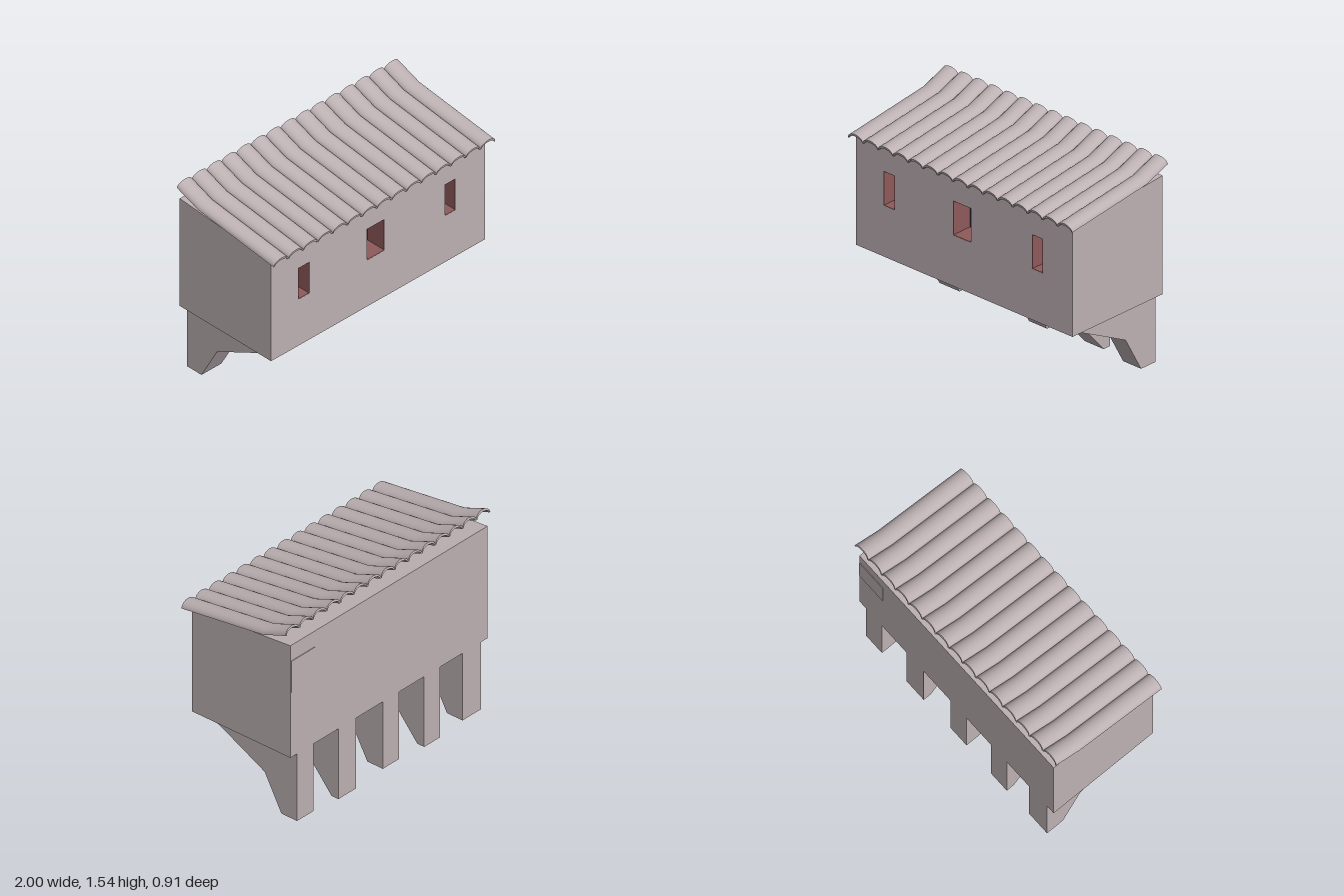
import * as THREE from 'three';
import { toCreasedNormals } from 'three/addons/utils/BufferGeometryUtils.js';

const material = (name, color) => {
  const m = new THREE.MeshStandardMaterial({ color });
  m.name = name;
  return m;
};

export function createModel() {
  const group = new THREE.Group();
  const stone = material('pale stone', 0xbdb1b3);
  const reveal = material('red brown reveal', 0x8f5a5a);
  const dark = material('dark opening', 0x382d3d);

  const add = (name, geometry, mat) => {
    const mesh = new THREE.Mesh(geometry, mat);
    mesh.name = name;
    group.add(mesh);
    return mesh;
  };
  const box = (name, x0, x1, y0, y1, z0, z1, mat) => {
    const g = new THREE.BoxGeometry(x1 - x0, y1 - y0, z1 - z0);
    g.translate((x0 + x1) / 2, (y0 + y1) / 2, (z0 + z1) / 2);
    return add(name, g, mat);
  };
  // Extrude a side profile of [z, y] points from x0 to x1
  const sideExtrude = (points, x0, x1) => {
    const shape = new THREE.Shape(points.map(p => new THREE.Vector2(...p)));
    const g = new THREE.ExtrudeGeometry(shape, { depth: x1 - x0, bevelEnabled: false });
    return g.rotateY(-Math.PI / 2).translate(x1, 0, 0);
  };

  // Main chamber: solid rear part, with the top rising towards the back
  const left = 0.955, right = -0.975, floor = 0.54, zFront = 0.4, zBack = -0.45, zSplit = 0.24;
  const topAt = z => 1.33 + (zFront - z) * 0.07 / 0.85;
  add('chamber', sideExtrude(
    [[zBack, floor], [zSplit, floor], [zSplit, topAt(zSplit)], [zBack, topAt(zBack)]],
    right, left), stone);

  // Front wall pierced by three windows
  const windows = [[-0.73, -0.63], [-0.11, 0.05], [0.595, 0.69]];
  const sill = 0.91, lintel = 1.16;
  const rect = (C, x0, x1, y0, y1) => new C([[x0, y0], [x1, y0], [x1, y1], [x0, y1]]
    .map(p => new THREE.Vector2(...p)));
  const wallShape = rect(THREE.Shape, right, left, floor, 1.33);
  windows.forEach(([a, b]) => wallShape.holes.push(rect(THREE.Path, a, b, sill, lintel)));
  const wall = new THREE.ExtrudeGeometry(wallShape, { depth: zFront - zSplit, bevelEnabled: false });
  wall.translate(0, 0, zSplit);
  const wp = wall.attributes.position;
  for (let i = 0; i < wp.count; i++) {
    if (wp.getY(i) > 1.3) wp.setY(i, topAt(wp.getZ(i)));
  }
  wall.computeVertexNormals();
  add('frontWall', wall, stone);

  // Window linings and dark backs
  const t = 0.003, zLip = zFront - 0.001;
  windows.forEach(([a, b]) => {
    box('windowSill', a, b, sill, sill + t, zSplit, zLip, reveal);
    box('windowLintel', a, b, lintel - t, lintel, zSplit, zLip, reveal);
    box('windowJamb', a, a + t, sill, lintel, zSplit, zLip, reveal);
    box('windowJamb', b - t, b, sill, lintel, zSplit, zLip, reveal);
    box('windowBack', a, b, sill, lintel, zSplit, zSplit + 0.004, dark);
  });

  // Shallow panel on the back wall
  box('backPanel', 0.72, 0.95, 1.04, 1.28, zBack - 0.005, zBack, stone);

  // Supporting corbels, alternating between two side profiles
  const profiles = [
    [[zBack, 0.025], [-0.315, 0.025], [-0.17, 0.285], [0.05, 0.395], [0.345, floor], [zBack, floor]],
    [[zBack, 0], [-0.39, 0], [-0.22, 0.195], [-0.17, 0.25], [0.05, 0.39], [0.345, floor], [zBack, floor]],
  ];
  [[-0.91, -0.73], [-0.51, -0.355], [-0.11, 0.05], [0.315, 0.485], [0.73, 0.89]]
    .forEach(([a, b], i) => add('corbel', sideExtrude(profiles[i % 2], a, b), stone));

  // Roof tile: a thin arch swept along a bent slope
  const count = 15, half = 1 / count, rise = 0.045, thick = 0.016, segs = 12;
  const arch = [];
  for (let i = 0; i <= segs; i++) {
    const a = Math.PI * i / segs;
    arch.push(new THREE.Vector2(half * Math.cos(a), rise * Math.sin(a)));
  }
  for (let i = segs; i >= 0; i--) {
    const a = Math.PI * i / segs;
    arch.push(new THREE.Vector2((half - 0.008) * Math.cos(a), (rise - thick) * Math.sin(a)));
  }
  let tile = new THREE.ExtrudeGeometry(new THREE.Shape(arch),
    { depth: 2, steps: 2, bevelEnabled: false });
  // Slope stations from back to front: [z, base height, lean of the cut]
  const slope = [[-0.452, 1.498, 0.25], [-0.25, 1.423, 0], [0.45, 1.33, 0.13]];
  const tp = tile.attributes.position;
  for (let i = 0; i < tp.count; i++) {
    const [z, y, lean] = slope[Math.round(tp.getZ(i))];
    tp.setZ(i, z + tp.getY(i) * lean);
    tp.setY(i, tp.getY(i) + y);
  }
  tile = toCreasedNormals(tile, 0.6);
  for (let i = 0; i < count; i++) {
    add('roofTile', tile, stone).position.x = -1 + half * (2 * i + 1);
  }
  return group;
}
